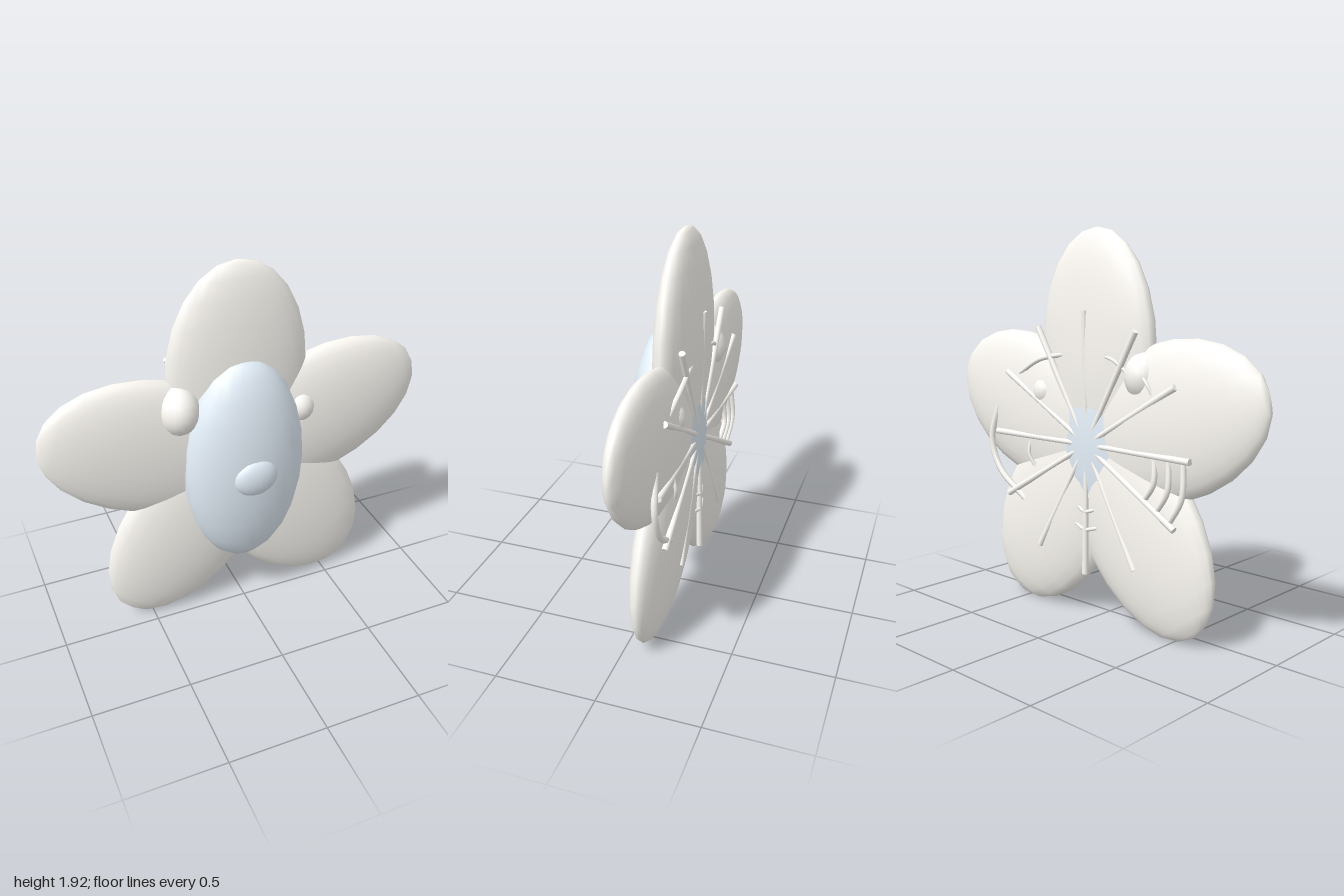
import * as THREE from 'three';

const CY = 0.885;      // height of the flower's centre
const BACK = -0.181;   // plane of the spoke tips and webbing

const cream = new THREE.MeshStandardMaterial({ color: 0xfffcf6 });
const blue = new THREE.MeshStandardMaterial({ color: 0xe6f1fb });

// smooth ellipsoid with its poles along y
function ellipsoid(name, radii, pos, material = cream) {
  const geo = new THREE.SphereGeometry(1, 24, 12);
  geo.scale(...radii);
  const mesh = new THREE.Mesh(geo, material);
  mesh.name = name;
  mesh.position.set(...pos);
  return mesh;
}

// point on the back plane; angle is clockwise from up, towards +x
function polar(r, deg, z = BACK) {
  const a = THREE.MathUtils.degToRad(deg);
  return new THREE.Vector3(r * Math.sin(a), CY + r * Math.cos(a), z);
}

// curved strand through [radius, angle] pairs, its ends sinking into the petals
function strand(points, thickness) {
  const last = points.length - 1;
  const curve = new THREE.CatmullRomCurve3(
    points.map(([r, a], i) => polar(r, a, i === 0 || i === last ? BACK + 0.012 : BACK))
  );
  const mesh = new THREE.Mesh(
    new THREE.TubeGeometry(curve, 14, thickness, 8, false),
    new THREE.MeshStandardMaterial({ color: 0xfffcf6, side: THREE.DoubleSide })
  );
  mesh.name = 'webStrand';
  return mesh;
}

export function createModel() {
  const model = new THREE.Group();
  model.name = 'flower';

  // five petals overlapping at the centre
  const petals = new THREE.Group();
  petals.name = 'petals';
  for (let i = 0; i < 5; i++) {
    const p = polar(0.46, i * 72, -0.09);
    const petal = ellipsoid('petal', [0.367, 0.579, 0.1], [p.x, p.y, p.z]);
    petal.rotation.z = -THREE.MathUtils.degToRad(i * 72);
    petals.add(petal);
  }
  model.add(petals);

  // blue body with a knob on its front
  model.add(ellipsoid('body', [0.317, 0.578, 0.177], [0, CY - 0.004, -0.012], blue));
  model.add(ellipsoid('frontKnob', [0.115, 0.102, 0.05], [0, CY, 0.145], blue));

  // two side bumps passing through the petals
  model.add(ellipsoid('rightBump', [0.109, 0.13, 0.135], [-0.317, 1.232, -0.07]));
  model.add(ellipsoid('leftBump', [0.09, 0.1, 0.115], [0.318, 1.12, -0.082]));

  // twelve spokes across the back, rising slightly out of the body
  const spokes = new THREE.Group();
  spokes.name = 'spokes';
  for (let i = 0; i < 12; i++) {
    const from = new THREE.Vector3(0, CY, BACK + 0.012);
    const path = new THREE.LineCurve3(from, polar(0.645, i * 30));
    const dir = path.getTangent(0);
    const geo = new THREE.CylinderGeometry(0.016, 0.012, path.getLength(), 12);
    const spoke = new THREE.Mesh(geo, cream);
    spoke.name = 'spoke';
    spoke.position.copy(path.getPoint(0.5));
    spoke.quaternion.setFromUnitVectors(new THREE.Vector3(0, 1, 0.0001).normalize(), dir);
    spokes.add(spoke);
  }
  model.add(spokes);

  // web strands strung between the spokes
  const web = new THREE.Group();
  web.name = 'web';
  web.add(strand([[0.66, 78], [0.695, 94], [0.66, 108], [0.56, 127]], 0.016));
  web.add(strand([[0.57, 56], [0.505, 38], [0.455, 19]], 0.012));
  for (const r of [0.43, 0.515, 0.6]) {
    web.add(strand([[r, 239], [r + 0.025, 254], [r, 269]], 0.014));
  }
  for (const [r, a] of [[0.4, 103], [0.32, 180], [0.41, 180], [0.45, 336], [0.5, 310]]) {
    web.add(strand([[r, a - 10], [r + 0.01, a], [r, a + 10]], 0.009));
  }
  model.add(web);

  return model;
}
